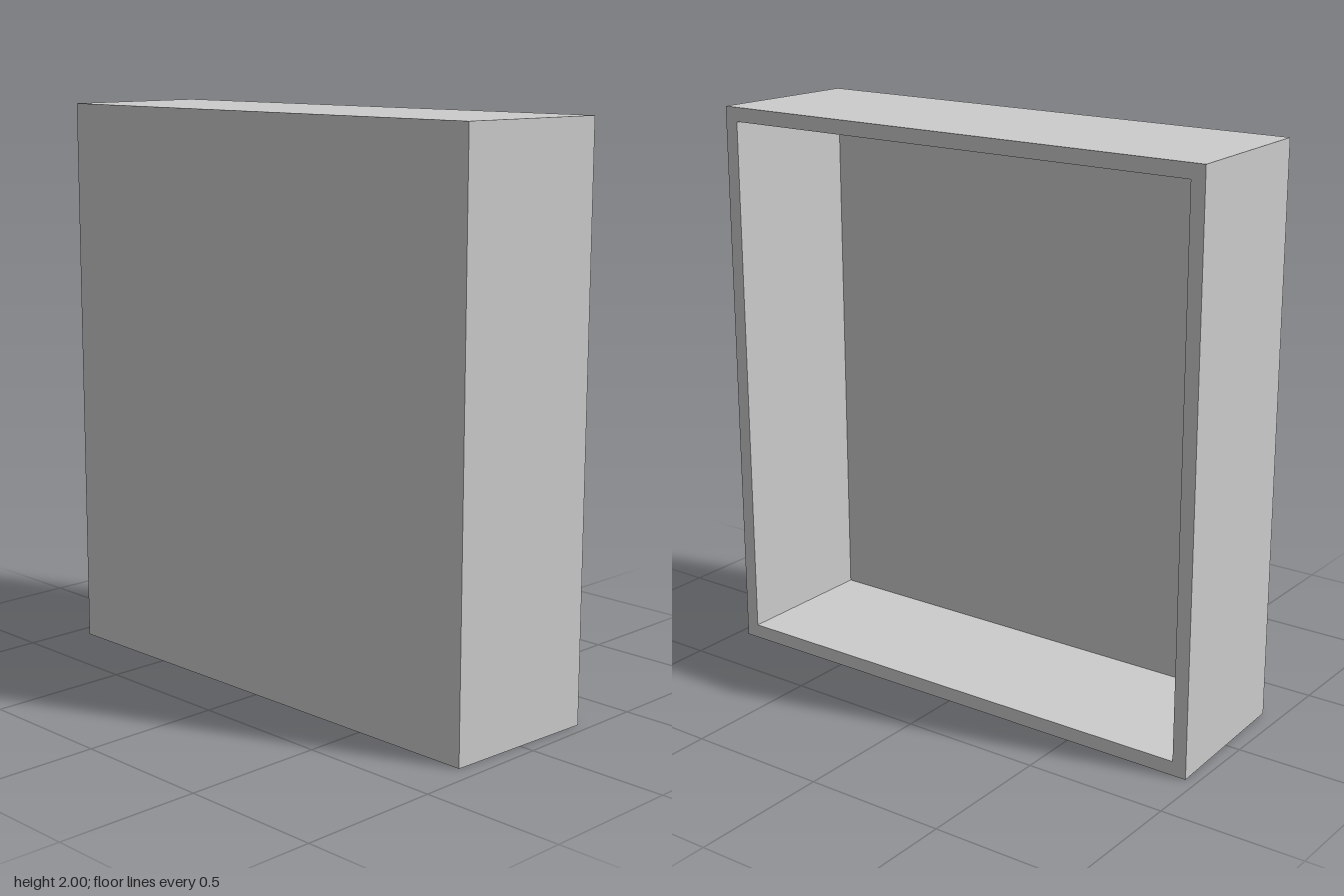
import * as THREE from 'three';

const W = 0.96, FRONT_W = 0.935, H = 2, D = 0.283; // half widths, height, half depth
const RIM = 0.05, PANEL = 0.026;                   // rim and front panel thickness

// Draws the outer side faces inward towards the front
function taper(geometry) {
  const p = geometry.attributes.position;
  for (let i = 0; i < p.count; i++) {
    const x = p.getX(i);
    if (Math.abs(x) < W - RIM / 2) continue;
    const t = (p.getZ(i) + D) / (2 * D);
    p.setX(i, Math.sign(x) * THREE.MathUtils.lerp(W, FRONT_W, t));
  }
  const flat = geometry.index ? geometry.toNonIndexed() : geometry;
  flat.computeVertexNormals();
  return flat;
}

function rectangle(path, x, y0, y1) {
  path.moveTo(-x, y0);
  path.lineTo(x, y0);
  path.lineTo(x, y1);
  path.lineTo(-x, y1);
  path.closePath();
  return path;
}

export function createModel() {
  const group = new THREE.Group();
  group.name = 'openBackCase';
  const material = new THREE.MeshStandardMaterial({ color: 0xcccccc, flatShading: true });
  const add = (name, geometry) => {
    const mesh = new THREE.Mesh(taper(geometry), material);
    mesh.name = name;
    group.add(mesh);
  };

  // Four walls around a straight-sided cavity, open at the back
  const outline = rectangle(new THREE.Shape(), W, 0, H);
  outline.holes.push(rectangle(new THREE.Path(), W - RIM, RIM, H - RIM));
  const walls = new THREE.ExtrudeGeometry(outline, { depth: 2 * D - PANEL, bevelEnabled: false });
  walls.translate(0, 0, -D);
  add('walls', walls);

  // Thin panel closing the front
  const panel = new THREE.BoxGeometry(2 * W, H, PANEL);
  panel.translate(0, H / 2, D - PANEL / 2);
  add('frontPanel', panel);

  return group;
}
